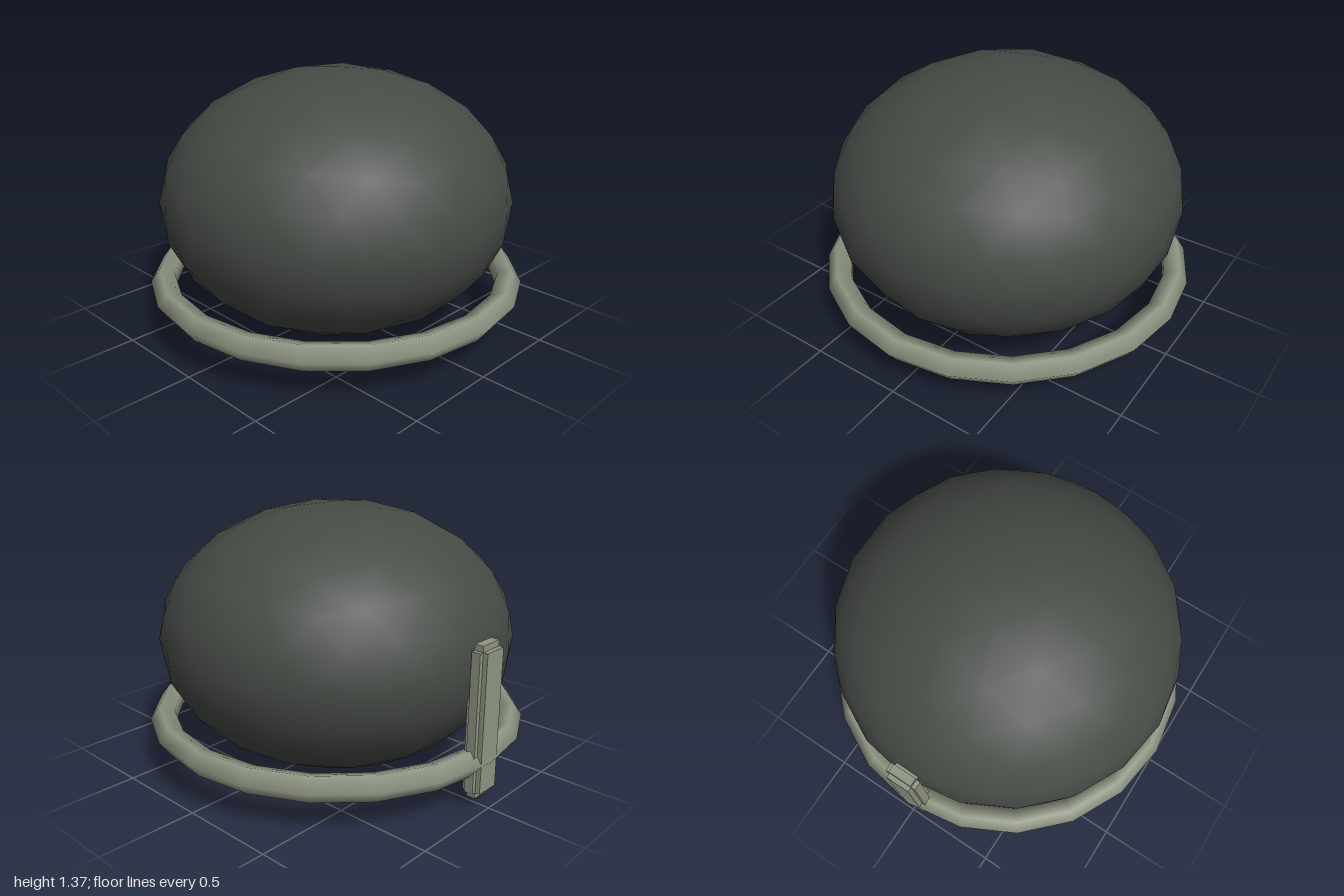
import * as THREE from 'three';

export function createModel() {
  const model = new THREE.Group();
  const darkGreen = new THREE.MeshStandardMaterial({ name: 'dark green grey', color: 0x464b45 });
  const paleGreen = new THREE.MeshStandardMaterial({ name: 'pale green grey', color: 0x8f9683 });

  const add = (parent, name, geometry, material) => {
    const mesh = new THREE.Mesh(geometry, material);
    mesh.name = name;
    parent.add(mesh);
    return mesh;
  };

  // Flattened ball: a subdivided icosahedron turned so that one corner points up
  const ball = new THREE.IcosahedronGeometry(1, 3);
  ball.rotateZ(Math.atan(2 / (1 + Math.sqrt(5))));
  ball.scale(0.927, 0.684, 0.927);
  add(model, 'body', ball, darkGreen).position.y = 0.686;

  // Five-sided tube ring around the lower body
  const ring = new THREE.TorusGeometry(0.93, 0.07, 5, 20).rotateX(-Math.PI / 2);
  add(model, 'ring', ring, paleGreen).position.y = 0.245;

  // Upright bar on the back, with stepped edges made by three crossing boxes
  const bar = new THREE.Group();
  bar.name = 'backBar';
  bar.position.set(0, 0.447, -0.938);
  add(bar, 'barDepth', new THREE.BoxGeometry(0.13, 0.705, 0.096), paleGreen);
  add(bar, 'barWidth', new THREE.BoxGeometry(0.176, 0.705, 0.046), paleGreen);
  add(bar, 'barHeight', new THREE.BoxGeometry(0.13, 0.766, 0.046), paleGreen);
  model.add(bar);

  return model;
}
